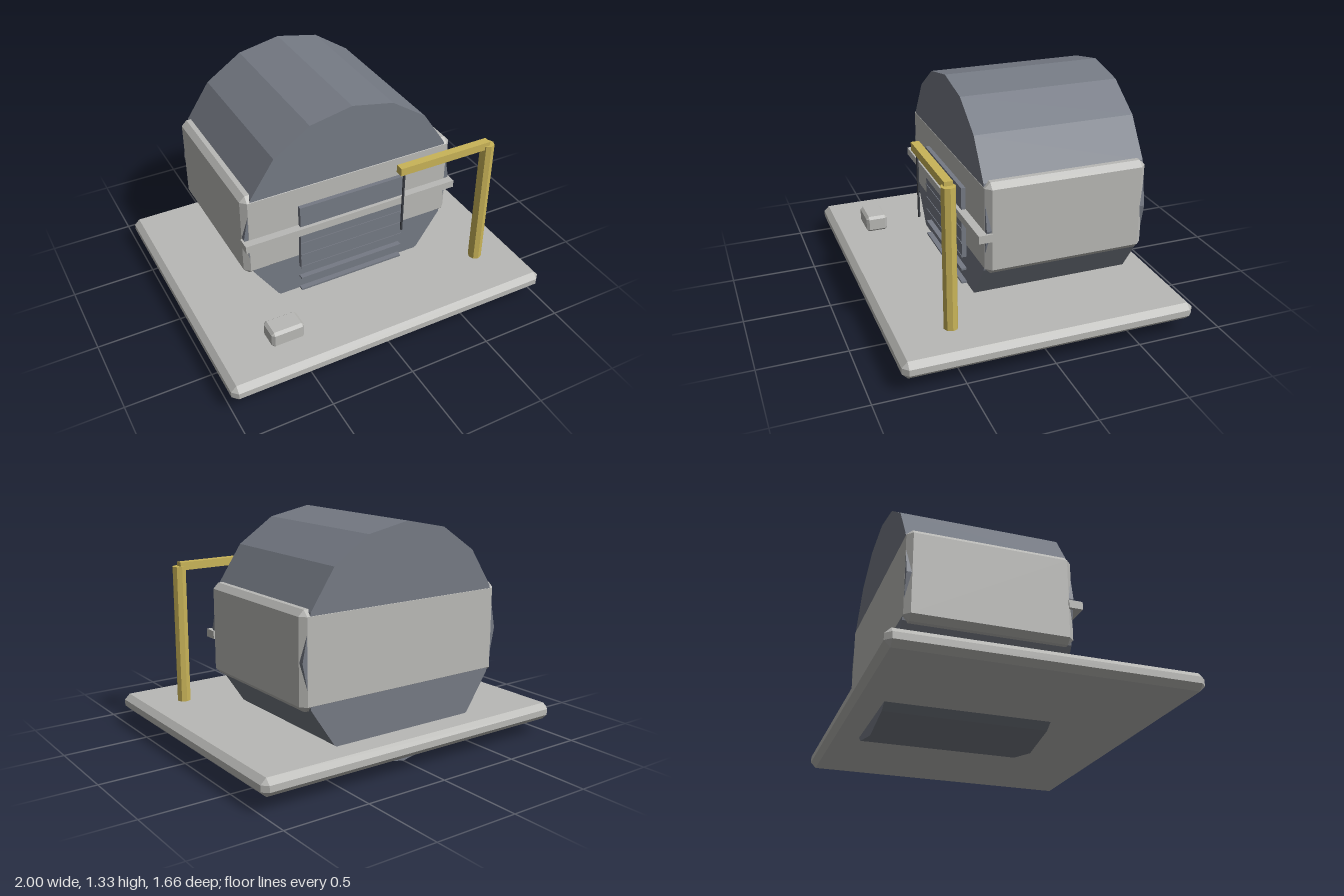
import * as THREE from 'three';
import { ConvexGeometry } from 'three/addons/geometries/ConvexGeometry.js';

const mat = (name, color) => {
  const m = new THREE.MeshStandardMaterial({ color });
  m.name = name;
  m.flatShading = true;
  return m;
};

// Box between two corners with every edge cut at 45 degrees
function chamferBox([x0, y0, z0], [x1, y1, z1], c) {
  const h = [(x1 - x0) / 2, (y1 - y0) / 2, (z1 - z0) / 2];
  const points = [];
  for (const sx of [-1, 1]) for (const sy of [-1, 1]) for (const sz of [-1, 1])
    for (let full = 0; full < 3; full++) {
      const p = [sx, sy, sz].map((s, i) => s * (i === full ? h[i] : h[i] - c));
      points.push(new THREE.Vector3(...p));
    }
  return new ConvexGeometry(points).translate((x0 + x1) / 2, (y0 + y1) / 2, (z0 + z1) / 2);
}

function box([x0, y0, z0], [x1, y1, z1]) {
  return new THREE.BoxGeometry(x1 - x0, y1 - y0, z1 - z0)
    .translate((x0 + x1) / 2, (y0 + y1) / 2, (z0 + z1) / 2);
}

export function createModel() {
  const model = new THREE.Group();
  model.name = 'drumHangar';
  const grey = mat('concreteGrey', 0xb9b9b6);
  const slate = mat('slateGrey', 0x757a84);
  const gold = mat('craneYellow', 0xc9b458);
  const dark = mat('cableDark', 0x3c3f45);

  const add = (name, geometry, material) => {
    const mesh = new THREE.Mesh(geometry, material);
    mesh.name = name;
    model.add(mesh);
  };

  // Ground slab and the bevelled body block
  add('basePad', chamferBox([-1, 0.088, -0.832], [1, 0.188, 0.832], 0.032), grey);
  add('bodyBlock', chamferBox([-0.667, 0.403, -0.667], [0.667, 0.935, 0.268], 0.032), grey);

  // Sixteen-sided drum lying along z, dipping below the pad
  const drum = new THREE.CylinderGeometry(0.665, 0.665, 0.932, 16);
  drum.rotateX(Math.PI / 2).translate(0, 0.668, -0.2);
  add('drumShell', drum, slate);

  // Door with ramp slats and the beam across it
  add('door', box([-0.335, 0.357, 0.24], [0.335, 0.785, 0.294]), slate);
  for (let i = 0; i < 5; i++) {
    const y = 0.188 + i * 0.085;
    add('doorSlat', box([-0.335, y, 0.25], [0.335, y + 0.011, 0.298]), slate);
  }
  add('crossBeam', box([-0.675, 0.609, 0.235], [0.675, 0.655, 0.315]), grey);

  // Crane post, arm and hanging cable
  add('cranePost', new THREE.CylinderGeometry(0.04, 0.04, 0.82, 8).translate(0.747, 0.593, 0.5), gold);
  add('craneArm', box([0.165, 0.98, 0.475], [0.748, 1.027, 0.522]), gold);
  add('craneCable', new THREE.CylinderGeometry(0.007, 0.007, 0.4, 6).translate(0.2, 0.787, 0.498), dark);

  // Small crate on the pad
  add('crate', chamferBox([-0.685, 0.185, 0.515], [-0.488, 0.287, 0.647], 0.016), grey);

  return model;
}
